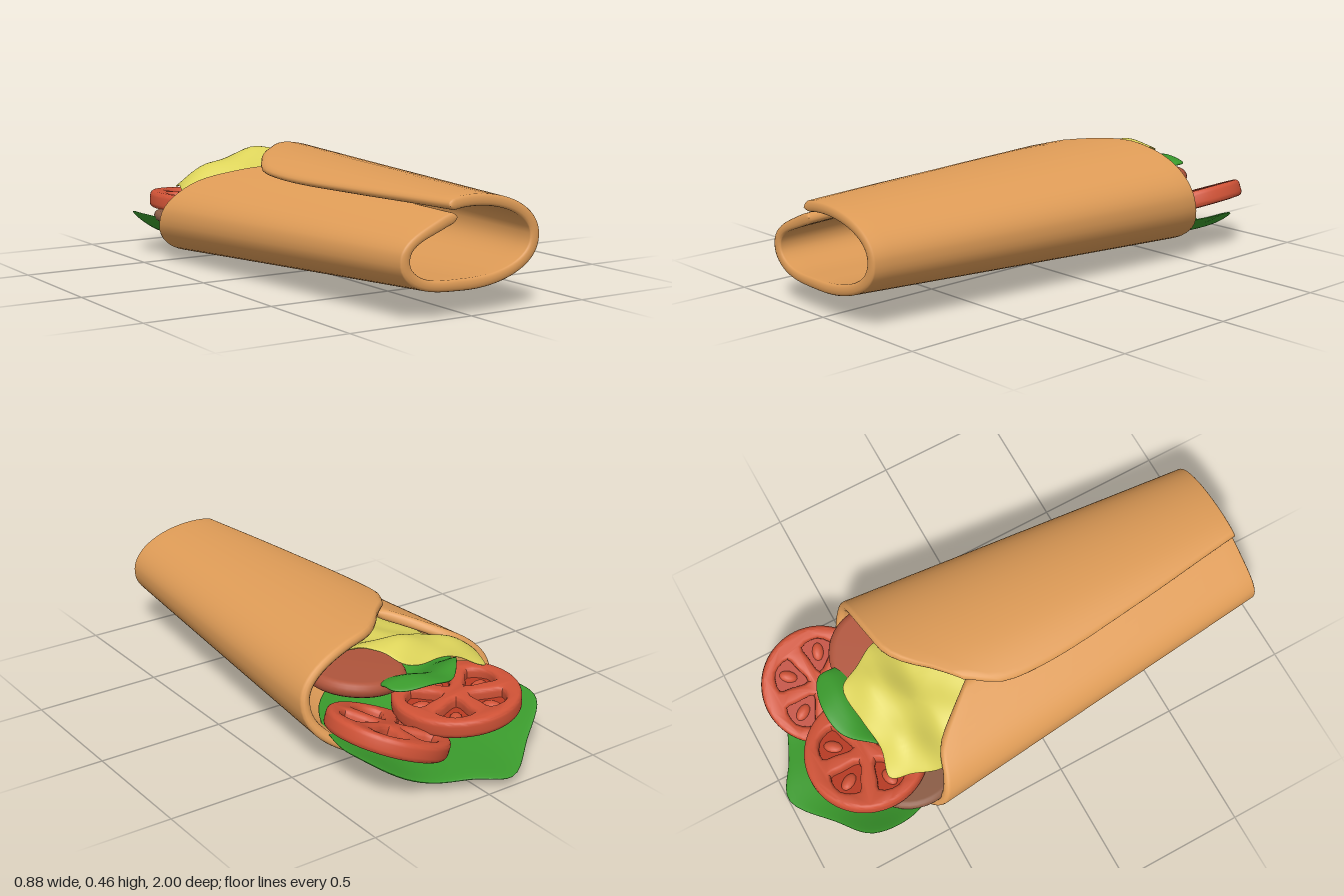
import * as THREE from 'three';
import { mergeVertices, toCreasedNormals } from 'three/addons/utils/BufferGeometryUtils.js';

const mat = (color) => new THREE.MeshStandardMaterial({ color });
const breadMat = mat(0xdf9c57), tomatoMat = mat(0xcf5236), fleshMat = mat(0xb83a22);
const lettuceMat = mat(0x3a9a2c), cheeseMat = mat(0xdcd35a);
const redMeatMat = mat(0xb0553c), brownMeatMat = mat(0x8f5f48);

const smooth = THREE.MathUtils.smoothstep;
const V = (x, y, z) => new THREE.Vector3(x, y, z);

// smooth lookup through [input, output] pairs
function lookup(pairs) {
  const f = new THREE.CubicInterpolant(pairs.map((p) => p[0]), pairs.map((p) => p[1]), 1, new Float32Array(1));
  return (t) => f.evaluate(t)[0];
}

// skin over rows of points, each row being a closed loop
function skin(rows) {
  const m = rows[0].length, index = [];
  for (let i = 0; i < rows.length - 1; i++) {
    for (let a = 0; a < m; a++) {
      const b = (a + 1) % m, p = i * m, q = p + m;
      index.push(p + a, q + b, q + a, p + a, p + b, q + b);
    }
  }
  let g = new THREE.BufferGeometry().setFromPoints(rows.flat());
  g.setIndex(index);
  g = mergeVertices(g, 1e-5);
  g.computeVertexNormals();
  return g;
}

function add(group, name, geometry, material) {
  const mesh = new THREE.Mesh(geometry, material);
  mesh.name = name;
  group.add(mesh);
  return mesh;
}

// rolled flatbread: a tapered spiral sheet, d = degrees clockwise from the seam
const SEAM = 106, TURN = 360, THICK = 0.042;
const backEdge = lookup([[0, -0.22], [11, -0.31], [18, -0.37], [29, -0.43], [46, -0.455], [106, -0.49], [151, -0.57],
  [196, -0.65], [241, -0.57], [286, -0.48], [306, -0.45], [331, -0.4], [348, -0.29], [360, -0.2]]);
const seamShift = lookup([[-0.7, 0], [-0.23, 0], [-0.1, 12], [0.05, 16], [0.5, 13], [1, 4]]);

function wrapGeometry() {
  const columns = [0, 0.4, 1.2, 2.5, 4, 6];
  for (let i = 1; i < 64; i++) columns.push(6 + (i * (TURN - 12)) / 64);
  for (const e of [6, 4, 2.5, 1.2, 0.4, 0]) columns.push(TURN - e);
  const rows = columns.map((d) => {
    const zb = backEdge(d);
    const end = Math.min(1, Math.min(d, TURN - d) / 6);
    const fat = Math.sqrt(Math.max(0, 1 - (1 - end) ** 2));
    const tuck = 0.043 * smooth(d, 270, 345);
    // k runs from 0 on the outer face to 1 on the inner face
    const point = (z, k) => {
      const phi = THREE.MathUtils.degToRad(SEAM - d + seamShift(z) * (1 - smooth(d, 0, 80)));
      const inset = tuck + THICK * (0.5 + (k - 0.5) * fat);
      const hx = 0.3 + (1 - z) * 0.098 - inset, hy = 0.165 + (1 - z) * 0.0435 - inset;
      const c = Math.cos(phi), s = Math.sin(phi), x = hx * c;
      // fuller underside, and a sag on the tucked side
      const round = s < 0 ? -((-s) ** 0.87) : s;
      const sag = 0.025 * smooth(-c, 0.1, 1);
      return V(x, 0.257 - (1 - z) * 0.0115 + hy * round - sag + (0.012 + 0.02 * (1 - z)) * x, z);
    };
    const loop = [], n = 22, z0 = zb + 0.02, z1 = 0.99;
    for (let j = 0; j <= n; j++) loop.push(point(z0 + ((z1 - z0) * j) / n, 0));
    for (let j = 1; j < 6; j++) {
      const a = (j * Math.PI) / 6;
      loop.push(point(z1 + 0.01 * Math.sin(a), (1 - Math.cos(a)) / 2));
    }
    for (let j = n; j >= 0; j--) loop.push(point(z0 + ((z1 - z0) * j) / n, 1));
    for (let j = 1; j < 6; j++) {
      const a = (j * Math.PI) / 6;
      loop.push(point(z0 - 0.02 * Math.sin(a), (1 + Math.cos(a)) / 2));
    }
    return loop;
  });
  return skin(rows);
}

// thin draped sheet inside an outline of [x, z] points, its height given by a rule
function sheetGeometry(outline, height, thick) {
  const curve = new THREE.CatmullRomCurve3(outline.map(([x, z]) => V(x, 0, z)), true, 'centripetal');
  const rim = curve.getPoints(72).slice(0, -1);
  const centre = rim.reduce((s, p) => s.add(p), V(0, 0, 0)).divideScalar(rim.length);
  const rows = [], n = 16;
  for (let k = 0; k <= 2 * n; k++) {
    const r = Math.sin(((1 - Math.abs(k / n - 1)) * Math.PI) / 2);
    const half = (Math.sign(n - k) * thick * Math.sqrt(Math.max(0, 1 - r ** 8))) / 2;
    rows.push(rim.map((p) => {
      const q = centre.clone().lerp(p, r);
      q.y = height(q.x, q.z) + half;
      return q;
    }));
  }
  return skin(rows);
}

// tomato slice: bevelled ring with five seed pockets, closed underneath by flesh
function tomatoSlice(name, r) {
  const slice = new THREE.Group();
  slice.name = name;
  const shape = new THREE.Shape().absarc(0, 0, r, 0, Math.PI * 2);
  const seeds = 5;
  for (let i = 0; i < seeds; i++) {
    const a = (i * 2 * Math.PI) / seeds + 0.87;
    const at = (rad, da) => new THREE.Vector2(Math.cos(a + da) * rad * r, Math.sin(a + da) * rad * r);
    const pts = [at(0.22, 0), at(0.5, 0.36), at(0.7, 0.4), at(0.79, 0), at(0.7, -0.4), at(0.5, -0.36)];
    const curve = new THREE.CatmullRomCurve3(pts.map((p) => V(p.x, p.y, 0)), true);
    shape.holes.push(new THREE.Path(curve.getPoints(18).slice(0, -1).map((p) => new THREE.Vector2(p.x, p.y))));
    const seed = add(slice, 'seedPocket', new THREE.SphereGeometry(1, 12, 8), tomatoMat);
    seed.scale.set(0.16 * r, 0.018, 0.1 * r);
    const c = at(0.56, 0);
    seed.position.set(c.x, -0.01, -c.y);
    seed.rotation.y = a;
  }
  const g = new THREE.ExtrudeGeometry(shape, { depth: 0.028, bevelThickness: 0.02, bevelSize: 0.016,
    bevelOffset: -0.016, bevelSegments: 4, curveSegments: 40 });
  g.translate(0, 0, -0.014).rotateX(-Math.PI / 2);
  add(slice, 'tomatoRing', toCreasedNormals(g, 0.7), tomatoMat);
  const flesh = add(slice, 'tomatoFlesh', new THREE.CylinderGeometry(r * 0.82, r * 0.82, 0.028, 40), fleshMat);
  flesh.position.y = -0.022;
  return slice;
}

// round slice of meat with a rounded rim
function meatGeometry(r, t) {
  const pts = [new THREE.Vector2(0, -t / 2)];
  for (let i = 0; i <= 8; i++) {
    const a = -Math.PI / 2 + (i * Math.PI) / 8;
    pts.push(new THREE.Vector2(r - t / 2 + (Math.cos(a) * t) / 2, (Math.sin(a) * t) / 2));
  }
  pts.push(new THREE.Vector2(0, t / 2));
  return new THREE.LatheGeometry(pts, 40);
}

export function createModel() {
  const model = new THREE.Group();
  model.name = 'filledWrap';
  add(model, 'flatbread', wrapGeometry(), breadMat);

  // large lettuce leaf cupped along the bottom
  add(model, 'lowerLettuce', sheetGeometry(
    [[0.35, -0.5], [0.24, -0.3], [0, -0.15], [-0.24, -0.28], [-0.38, -0.5], [-0.43, -0.64], [-0.41, -0.78], [-0.28, -0.88],
      [-0.1, -1], [0.04, -0.93], [0.18, -0.87], [0.34, -0.82], [0.39, -0.68]],
    (x, z) => 0.05 + 0.75 * x * x + 0.085 * smooth(z, -0.5, -0.15) - 0.018 * smooth(-z, 0.5, 0.7)
      + 0.01 * Math.sin(x * 15 + z * 5) * smooth(-z, 0.5, 0.75), 0.022), lettuceMat);

  // smaller leaf in the middle
  add(model, 'upperLettuce', sheetGeometry(
    [[0.27, -0.45], [0.22, -0.25], [0, -0.16], [-0.22, -0.25], [-0.27, -0.42], [-0.15, -0.62], [-0.04, -0.72], [0.1, -0.73],
      [0.19, -0.69], [0.2, -0.6]],
    (x, z) => 0.235 + 0.4 * x * x + 0.095 * smooth(-z, 0.45, 0.66)
      + 0.01 * Math.sin(x * 22 - z * 9), 0.026), lettuceMat);

  // tomato slices
  const rightTomato = tomatoSlice('rightTomato', 0.24);
  rightTomato.position.set(-0.125, 0.203, -0.655);
  rightTomato.rotation.z = -0.08;
  const leftTomato = tomatoSlice('leftTomato', 0.23);
  leftTomato.position.set(0.215, 0.18, -0.685);
  leftTomato.rotation.set(0.03, 0, 0.36);
  model.add(rightTomato, leftTomato);

  // meat slices
  const brown = add(model, 'lowerMeat', meatGeometry(0.2, 0.045), brownMeatMat);
  brown.position.set(-0.22, 0.15, -0.52);
  brown.rotation.z = -0.14;
  const red = add(model, 'upperMeat', meatGeometry(0.19, 0.06), redMeatMat);
  red.position.set(0.18, 0.31, -0.44);
  red.rotation.z = 0.08;

  // wavy slice of cheese on top, drooping to one side
  add(model, 'cheese', sheetGeometry(
    [[0.19, -0.43], [0.14, -0.28], [0.08, -0.14], [-0.1, -0.12], [-0.22, -0.15], [-0.28, -0.3], [-0.34, -0.44], [-0.31, -0.55],
      [-0.28, -0.63], [-0.18, -0.61], [-0.06, -0.625], [0.09, -0.63], [0.13, -0.55]],
    (x, z) => 0.37 - 0.7 * Math.min(x - 0.1, 0) ** 2 + 0.055 * smooth(-z, 0.36, 0.5) - 0.04 * smooth(-z, 0.52, 0.64)
      + 0.008 * Math.sin(x * 26 + 1) * Math.cos(z * 24), 0.02), cheeseMat);
  return model;
}
